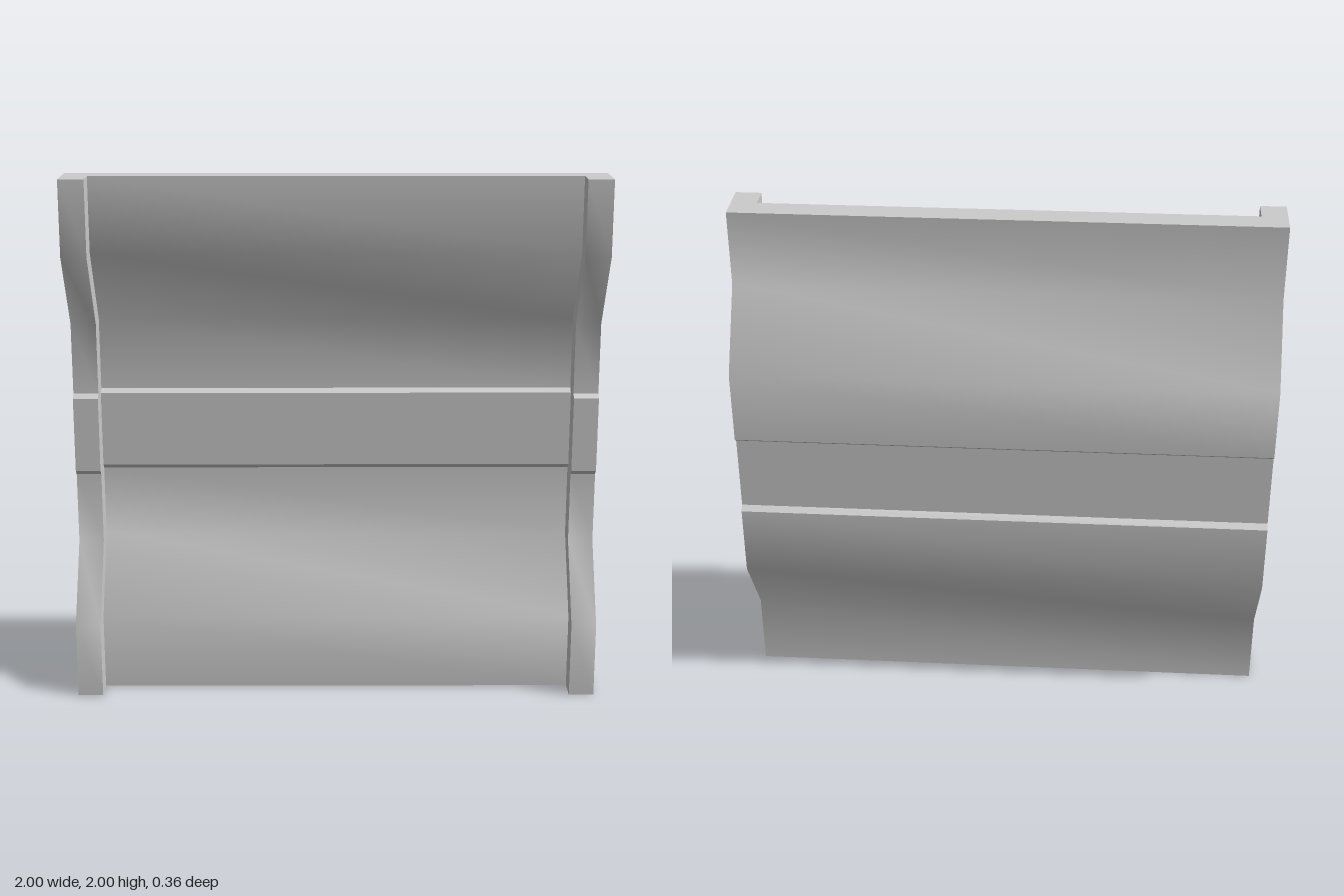
import * as THREE from 'three';
import { toCreasedNormals } from 'three/addons/utils/BufferGeometryUtils.js';

// Horizontal section of the channel: x and depth ahead of the back face
const section = [
  [-1, 0], [1, 0], [1, 0.182], [0.905, 0.182],
  [0.905, 0.091], [-0.905, 0.091], [-0.905, 0.182], [-1, 0.182],
];

// Height and back-face z at each bend, including the shallow middle band
const bends = [
  [0, 0], [0.287, 0], [0.573, -0.182], [0.842, -0.182], [0.86, -0.162],
  [1.147, -0.162], [1.162, -0.182], [1.433, -0.182], [1.717, 0], [2, 0],
];

function sweepPanel() {
  const positions = [];
  const loops = bends.map(([y, z]) => section.map(([x, d]) => [x, y, z + d]));
  const triangle = (a, b, c) => positions.push(...a, ...b, ...c);

  // Walls between neighbouring loops
  for (let i = 0; i < loops.length - 1; i++) {
    for (let j = 0; j < section.length; j++) {
      const k = (j + 1) % section.length;
      const a = loops[i][j], b = loops[i][k];
      const c = loops[i + 1][k], d = loops[i + 1][j];
      triangle(a, d, c);
      triangle(a, c, b);
    }
  }

  // Bottom and top ends
  const outline = section.map(([x, d]) => new THREE.Vector2(x, d));
  const top = loops[loops.length - 1];
  for (const [a, b, c] of THREE.ShapeUtils.triangulateShape(outline, [])) {
    triangle(loops[0][a], loops[0][b], loops[0][c]);
    triangle(top[c], top[b], top[a]);
  }

  const geometry = new THREE.BufferGeometry();
  geometry.setAttribute('position', new THREE.Float32BufferAttribute(positions, 3));
  // Soft main bends, crisp rims and band edges
  return toCreasedNormals(geometry, THREE.MathUtils.degToRad(40));
}

export function createModel() {
  const group = new THREE.Group();
  group.name = 'bentPanel';
  const panel = new THREE.Mesh(
    sweepPanel(),
    new THREE.MeshStandardMaterial({ color: 0xcccccc }),
  );
  panel.name = 'flangedPanel';
  group.add(panel);
  return group;
}
